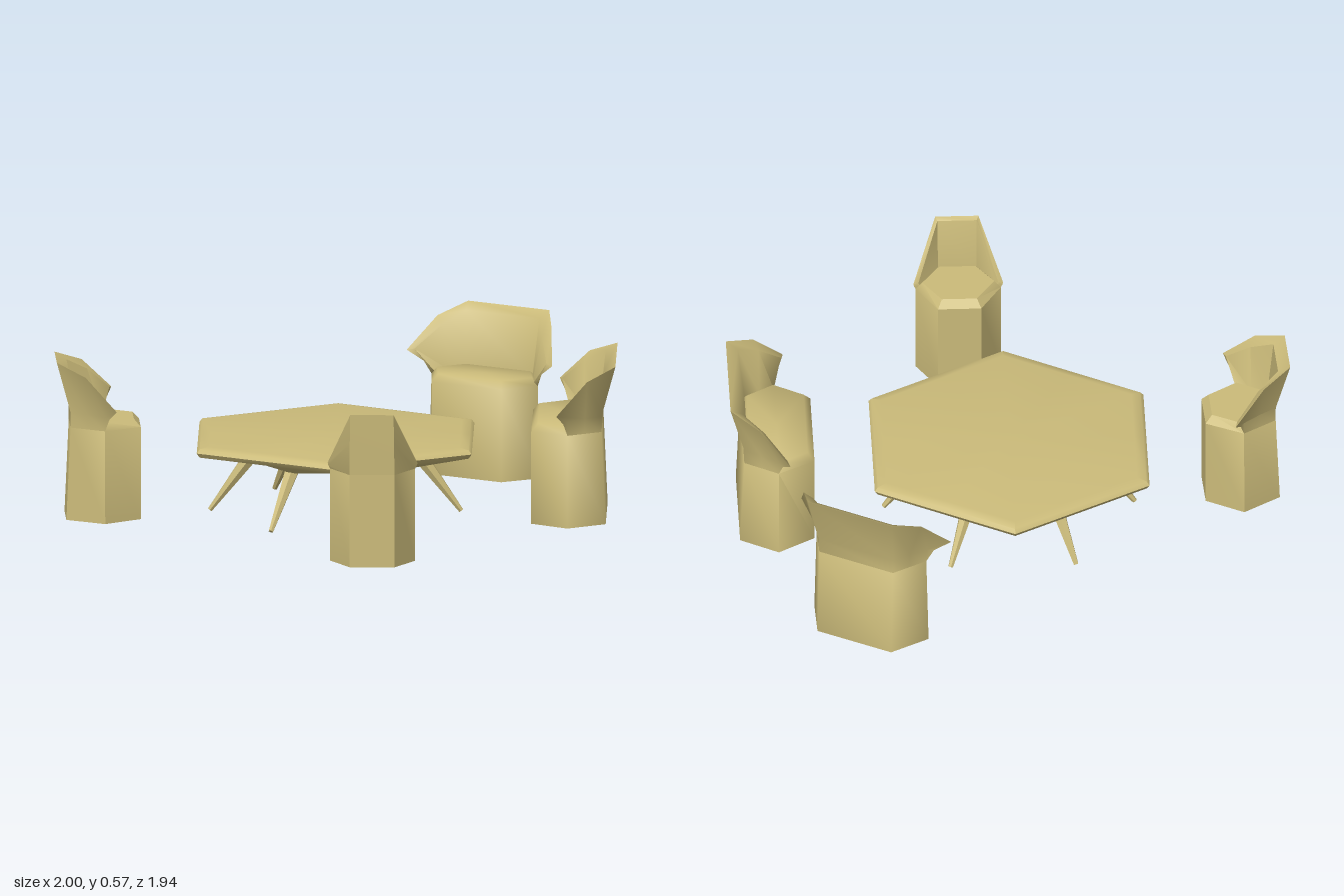
import * as THREE from 'three';
import { toCreasedNormals } from 'three/addons/utils/BufferGeometryUtils.js';

// Skin equal-length loops of [x, y, z] points and cap both ends with fans.
function loft(rings, crease) {
  const n = rings[0].length;
  const points = rings.flat().map((p) => new THREE.Vector3(...p));
  const index = [];
  for (let r = 0; r < rings.length - 1; r++) {
    for (let i = 0; i < n; i++) {
      const a = r * n + i, b = r * n + (i + 1) % n;
      index.push(a, b, a + n, b, b + n, a + n);
    }
  }
  const cap = (start, flip) => {
    const centre = new THREE.Vector3();
    for (let i = 0; i < n; i++) centre.addScaledVector(points[start + i], 1 / n);
    const c = points.push(centre) - 1;
    for (let i = 0; i < n; i++) {
      const a = start + i, b = start + (i + 1) % n;
      index.push(...(flip ? [c, b, a] : [c, a, b]));
    }
  };
  cap(0, true);
  cap((rings.length - 1) * n, false);
  // Turn every face outward if the enclosed volume comes out negative
  let volume = 0;
  const cross = new THREE.Vector3();
  for (let i = 0; i < index.length; i += 3) {
    volume += cross.crossVectors(points[index[i + 1]], points[index[i + 2]]).dot(points[index[i]]);
  }
  if (volume < 0) index.reverse();
  const geometry = new THREE.BufferGeometry().setFromPoints(points);
  geometry.setIndex(index);
  return toCreasedNormals(geometry, crease);
}

function addMesh(parent, name, geometry, material) {
  const mesh = new THREE.Mesh(geometry, material);
  mesh.name = name;
  parent.add(mesh);
  return mesh;
}

// Six-sided chair plan facing +z; "extra" widens it into a sofa.
function hexRing(extra, y, inset = 0, flare = 0) {
  const half = [
    [0.077 + extra - inset * 0.6, 0.13 - inset],
    [0.152 + extra - inset + flare * 0.6, 0],
    [0.08 + extra - inset * 0.6, -0.12 - (flare || 0) + inset],
  ];
  return [
    ...half.map(([x, z]) => [x, y, z]),
    ...[...half].reverse().map(([x, z]) => [-x, y, z]),
  ];
}

// Back sections (outer base, outer shoulder, outer rim, inner rim, inner base),
// listed from the front tip of one arm to the rear corner.
function wingedSections(e) {
  return [
    [[0.152 + e, 0.335, 0], [0.155 + e, 0.385, 0], [0.232 + e, 0.42, 0.038],
      [0.205 + e, 0.425, 0.03], [0.132 + e, 0.34, 0.002]],
    [[0.116 + e, 0.335, -0.06], [0.118 + e, 0.39, -0.062], [0.168 + e, 0.533, -0.07],
      [0.138 + e, 0.505, -0.052], [0.1 + e, 0.34, -0.05]],
    [[0.08 + e, 0.335, -0.12], [0.082 + e, 0.39, -0.12], [0.1 + e, 0.575, -0.17],
      [0.084 + e, 0.55, -0.128], [0.068 + e, 0.34, -0.103]],
  ];
}

function plainSections() {
  return [
    [[0.152, 0.335, 0], [0.157, 0.345, 0], [0.16, 0.355, 0], [0.142, 0.36, 0], [0.132, 0.34, 0]],
    [[0.08, 0.335, -0.12], [0.079, 0.45, -0.127], [0.077, 0.555, -0.132],
      [0.07, 0.548, -0.114], [0.068, 0.34, -0.1]],
  ];
}

function makeSeat(name, { x, z, turn, extra = 0, winged = true }, material) {
  const seat = new THREE.Group();
  seat.name = name;
  const crease = extra ? 1.2 : 0.7;
  const flare = winged ? 0.015 : 0;

  // Hollow base, open underneath, with a bevelled seat on top
  addMesh(seat, 'baseAndCushion', loft([
    hexRing(extra, 0.31, 0.028),
    hexRing(extra, 0, 0.028),
    hexRing(extra, 0, 0, flare),
    hexRing(extra, 0.335),
    hexRing(extra, 0.362, 0.024),
  ], crease), material);

  // Wraparound back, mirrored from one arm to the other
  const half = winged ? wingedSections(extra) : plainSections();
  const mirrored = half.map((s) => s.map(([px, py, pz]) => [-px, py, pz])).reverse();
  addMesh(seat, 'wraparoundBack', loft([...half, ...mirrored], crease), material);

  seat.position.set(x, 0, z);
  seat.rotation.y = turn;
  return seat;
}

// Twelve points round a hexagon: corners alternate with edge middles.
function tableRing(corner, y, middle = corner * Math.cos(Math.PI / 6), middleY = y) {
  return Array.from({ length: 12 }, (_, i) => {
    const angle = i * Math.PI / 6;
    const r = i % 2 ? corner : middle;
    return [r * Math.cos(angle), i % 2 ? y : middleY, r * Math.sin(angle)];
  });
}

function makeTable(material) {
  const table = new THREE.Group();
  table.name = 'table';

  // Hexagonal top with a rounded edge and a faceted underside
  addMesh(table, 'tableTop', loft([
    tableRing(0.3, 0.215, 0.3, 0.19),
    tableRing(0.553, 0.25),
    tableRing(0.565, 0.266),
    tableRing(0.553, 0.28),
    tableRing(0.515, 0.286),
  ], 0.8), material);

  // Six splayed, tapering legs
  const up = new THREE.Vector3(0, 1, 0);
  for (let i = 0; i < 6; i++) {
    const angle = i * Math.PI / 3;
    const at = (r, y) => new THREE.Vector3(r * Math.cos(angle), y, r * Math.sin(angle));
    const foot = at(0.447, 0.005), top = at(0.295, 0.21);
    const length = foot.distanceTo(top);
    const shape = new THREE.CylinderGeometry(0.028, 0.009, length, 6);
    const leg = addMesh(table, 'tableLeg', toCreasedNormals(shape, 0.7), material);
    leg.position.copy(foot).add(top).multiplyScalar(0.5);
    leg.quaternion.setFromUnitVectors(up, top.sub(foot).normalize());
  }
  table.position.z = -0.035;
  return table;
}

export function createModel() {
  const model = new THREE.Group();
  model.name = 'tableWithSeats';
  const sand = new THREE.MeshStandardMaterial({ color: 0xcbbb7a });
  sand.name = 'sand';

  model.add(
    makeTable(sand),
    makeSeat('rightChair', { x: -0.825, z: 0.045, turn: Math.PI / 2 + 0.06 }, sand),
    makeSeat('leftSofa', { x: 0.83, z: -0.022, turn: -Math.PI / 2, extra: 0.117 }, sand),
    makeSeat('rearSofa', { x: 0.518, z: -0.746, turn: -0.51, extra: 0.067 }, sand),
    makeSeat('frontStool', { x: 0.147, z: 0.836, turn: Math.PI, winged: false }, sand),
  );
  return model;
}
